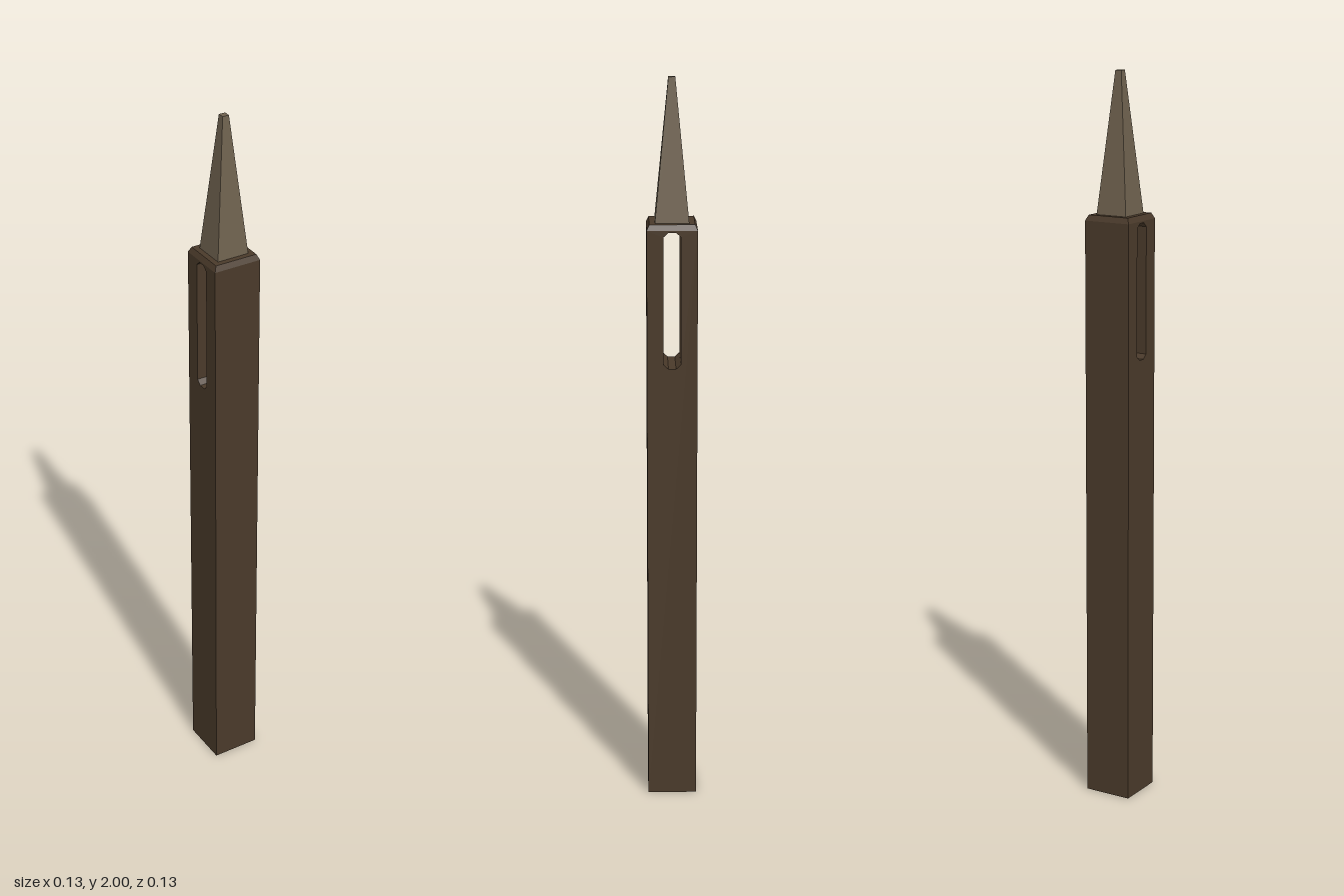
import * as THREE from 'three';

const HALF = 0.067;      // half width of the square shaft
const SHOULDER = 1.61;   // where the top chamfer starts
const SHAFT_TOP = 1.625;

// Square frustum between two heights
function squareFrustum(bottomHalf, topHalf, y0, y1, openEnded = false) {
  const g = new THREE.CylinderGeometry(topHalf * Math.SQRT2, bottomHalf * Math.SQRT2, y1 - y0, 4, 1, openEnded);
  g.rotateY(Math.PI / 4);
  g.translate(0, (y0 + y1) / 2, 0);
  return g;
}

export function createModel() {
  const group = new THREE.Group();
  const dark = new THREE.MeshStandardMaterial({ color: 0x4a3a2a, flatShading: true });
  const light = new THREE.MeshStandardMaterial({ color: 0x6e614e, flatShading: true });
  const add = (name, geometry, material) => {
    const mesh = new THREE.Mesh(geometry, material);
    mesh.name = name;
    group.add(mesh);
  };

  // Shaft with a long slot running through it from side to side
  const side = new THREE.Shape([
    [-HALF, 0], [HALF, 0], [HALF, SHOULDER], [-HALF, SHOULDER],
  ].map(([x, y]) => new THREE.Vector2(x, y)));
  const slot = [
    [-0.023, 1.25], [-0.023, 1.593], [-0.01, 1.605], [0.01, 1.605],
    [0.023, 1.593], [0.023, 1.25], [0.01, 1.238], [-0.01, 1.238],
  ].map(([x, y]) => new THREE.Vector2(x, y));
  side.holes.push(new THREE.Path(slot));
  const shaft = new THREE.ExtrudeGeometry(side, { depth: HALF * 2, bevelEnabled: false });
  shaft.translate(0, 0, -HALF);
  shaft.rotateY(Math.PI / 2);
  add('shaft', shaft, dark);

  // Chamfered shoulder
  add('shoulder', squareFrustum(HALF, 0.06, SHOULDER, SHAFT_TOP), dark);

  // Tapered point with a small flat tip
  add('spike', squareFrustum(0.045, 0.009, SHAFT_TOP, 2), light);

  return group;
}
